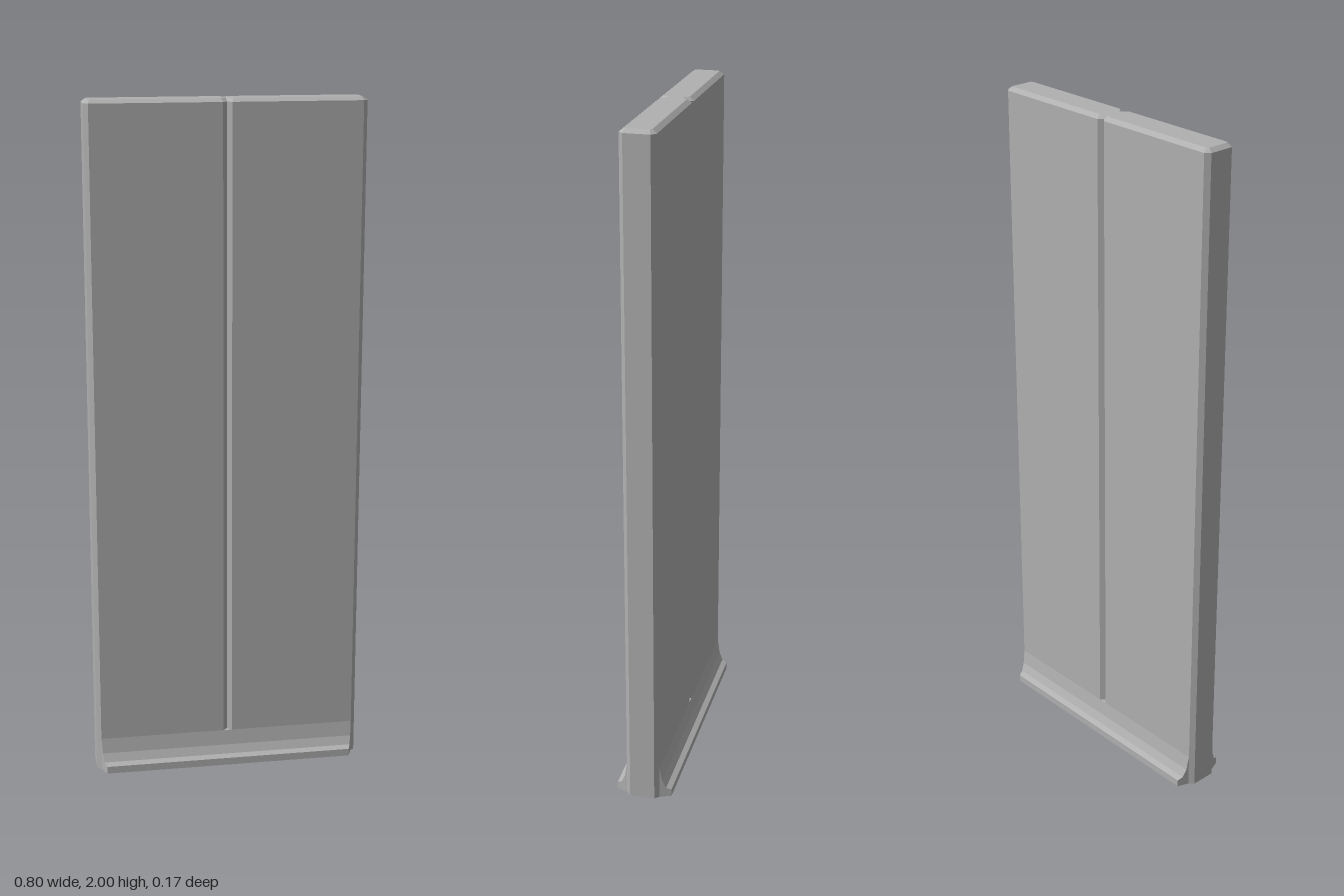
import * as THREE from 'three';

const W = 0.4, D = 0.05, C = 0.013;

// Half outline of the panel in plan; mirrored by rotation to the other half.
// c = corner chamfer, g = groove half width, a = groove apex distance from centre
function outline(w, d, c, g, a) {
  const half = [[w, -d + c], [w, d - c], [w - c, d]];
  if (g) half.push([g, d], [0, a], [-g, d]);
  half.push([-w + c, d]);
  return [...half, ...half.map(([x, z]) => [-x, -z])];
}

const toShape = (pts) => new THREE.Shape(pts.map(([x, y]) => new THREE.Vector2(x, y)));

export function createModel() {
  const group = new THREE.Group();
  const grey = new THREE.MeshStandardMaterial({ color: 0xb0b0b0 });
  grey.name = 'plain grey';

  const add = (geometry, name) => {
    geometry.computeVertexNormals();
    const mesh = new THREE.Mesh(geometry, grey);
    mesh.name = name;
    group.add(mesh);
    return mesh;
  };

  // Plain lower block, up to the foot of the grooves
  const lower = new THREE.ExtrudeGeometry(toShape(outline(W, D, C)), { depth: 0.1, bevelEnabled: false });
  lower.rotateX(-Math.PI / 2);
  add(lower, 'panelBase');

  // Grooved panel, its top ring pulled in to form the bevelled rim
  const outer = outline(W, D, C, C, D - C);
  const inner = outline(W - C, D - C, 0.005, 0.018, 0.019);
  const levels = [0.1, 1.99, 2];
  const panel = new THREE.ExtrudeGeometry(toShape(outer), { depth: 2, steps: 2, bevelEnabled: false });
  const p = panel.attributes.position;
  for (let i = 0; i < p.count; i++) {
    const step = Math.round(p.getZ(i));
    const k = outer.findIndex(([x, y]) => Math.hypot(x - p.getX(i), y - p.getY(i)) < 1e-4);
    const [x, y] = step === 2 ? inner[k] : outer[k];
    p.setXYZ(i, x, y, levels[step]);
  }
  panel.rotateX(-Math.PI / 2);
  add(panel, 'groovedPanel');

  // Flared skirting along the foot of both faces, with ends cut at a slant
  const profile = [[0.05, 0], [0.083, 0], [0.083, 0.022], [0.068, 0.03], [0.057, 0.055], [0.05, 0.1]];
  const skirt = new THREE.ExtrudeGeometry(toShape(profile.map(([z, y]) => [-z, y])), { depth: 1, bevelEnabled: false });
  skirt.rotateY(Math.PI / 2);
  const s = skirt.attributes.position;
  for (let i = 0; i < s.count; i++) {
    const end = W - C - (s.getZ(i) - D) * 0.39;
    s.setX(i, s.getX(i) > 0.5 ? end : -end);
  }
  add(skirt, 'frontSkirting');
  add(skirt.clone(), 'backSkirting').rotation.y = Math.PI;

  return group;
}
